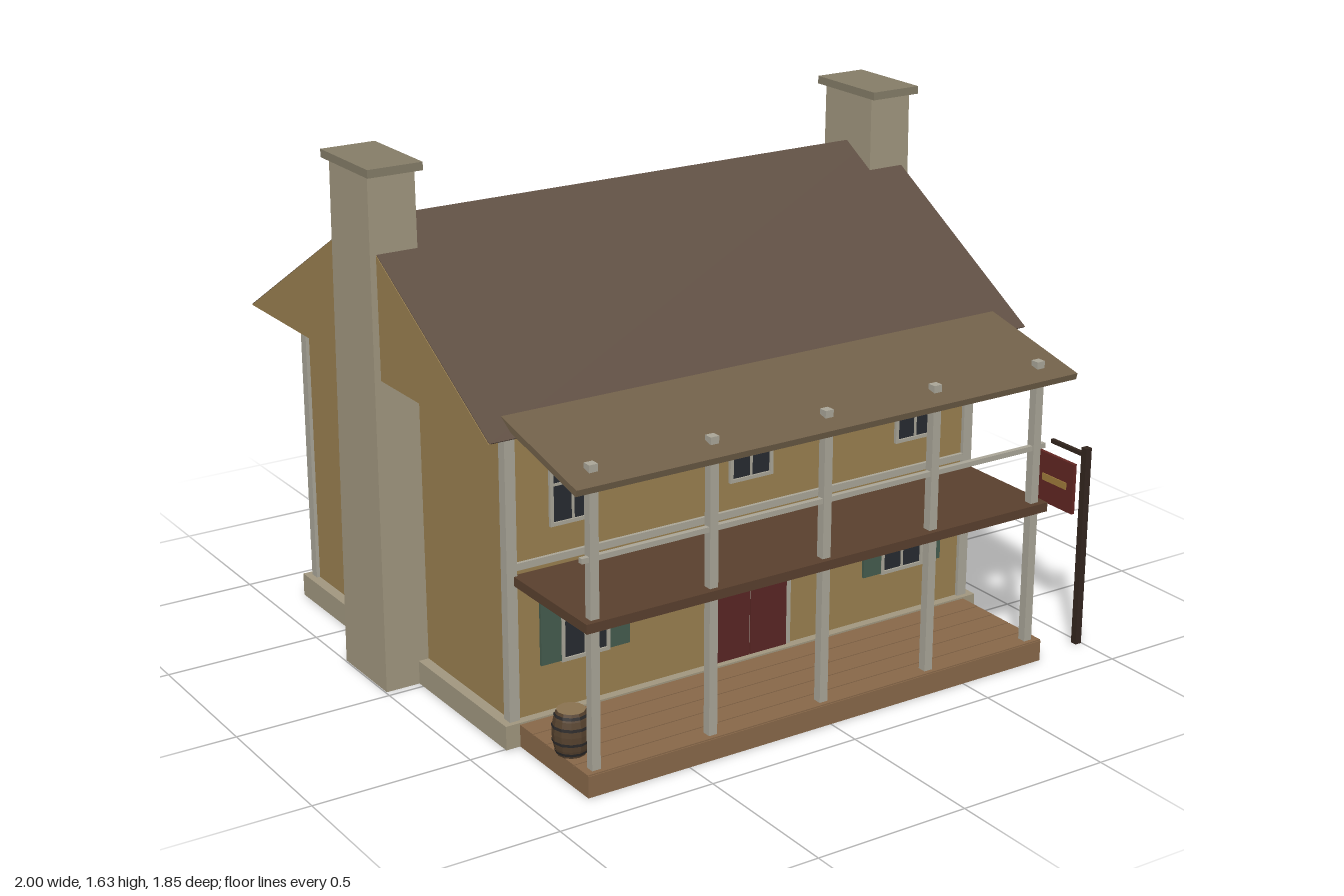
import * as THREE from 'three';

const mat = (color) => new THREE.MeshStandardMaterial({ color, flatShading: true });
const M = {
  wall: mat(0x9a8050), trim: mat(0xaaa698), roof: mat(0x5e4e42), porchRoof: mat(0x716049), soffit: mat(0x3a2c26),
  stone: mat(0xa1977f), cap: mat(0x857d68), floor: mat(0x886849), beam: mat(0x5a402e),
  glass: mat(0x272b31), shutter: mat(0x455c4e), door: mat(0x5a2624), dark: mat(0x33261f),
  sign: mat(0x622622), gold: mat(0xa07c3c), stave: mat(0x57432f), hoop: mat(0x2c2a2a), lid: mat(0x8a7250),
};
const CX = -0.0165; // middle of the house
const RIDGE_Z = -0.162;

function add(parent, name, geo, material, x = 0, y = 0, z = 0) {
  const mesh = new THREE.Mesh(geo, material);
  mesh.name = name;
  mesh.position.set(x, y, z);
  parent.add(mesh);
  return mesh;
}

// Box given by its limits on each axis
function span(parent, name, material, [x0, x1], [y0, y1], [z0, z1]) {
  return add(parent, name, new THREE.BoxGeometry(x1 - x0, y1 - y0, z1 - z0), material,
    (x0 + x1) / 2, (y0 + y1) / 2, (z0 + z1) / 2);
}

// Triangular prism along x, cross-section in z and y
function gablePrism(parent, name, material, x0, x1, half, base, top) {
  const shape = new THREE.Shape();
  shape.moveTo(-half, base);
  shape.lineTo(half, base);
  shape.lineTo(0, top);
  const geo = new THREE.ExtrudeGeometry(shape, { depth: x1 - x0, bevelEnabled: false });
  geo.rotateY(Math.PI / 2);
  return add(parent, name, geo, material, x0, 0, RIDGE_Z);
}

// Four-pane sash window facing +z, origin at its centre
function makeWindow(parent, name, w, h, x, y, z, turned, shutters) {
  const g = new THREE.Group();
  g.name = name;
  const b = 0.011;
  add(g, 'glass', new THREE.BoxGeometry(w - b, h - b, 0.012), M.glass);
  for (const s of [-1, 1]) {
    add(g, 'frameSide', new THREE.BoxGeometry(b, h, 0.024), M.trim, s * (w - b) / 2);
    add(g, 'frameRail', new THREE.BoxGeometry(w, b, 0.024), M.trim, 0, s * (h - b) / 2);
    if (shutters) add(g, 'shutter', new THREE.BoxGeometry(0.068, h - 0.01, 0.02), M.shutter, s * (w / 2 + 0.035));
  }
  add(g, 'muntinUpright', new THREE.BoxGeometry(0.008, h, 0.018), M.trim);
  add(g, 'muntinCross', new THREE.BoxGeometry(w, 0.008, 0.018), M.trim);
  g.position.set(x, y, z);
  if (turned) g.rotation.y = Math.PI;
  parent.add(g);
}

function makeHouse(root) {
  const g = new THREE.Group();
  g.name = 'house';
  root.add(g);

  // Foundation without an underside, so the floor above shows from below
  const foundation = span(g, 'foundation', M.stone, [-0.884, 0.852], [0, 0.075], [-0.826, 0.506]).geometry;
  const faces = Array.from(foundation.index.array);
  faces.splice(18, 6);
  foundation.setIndex(faces);
  foundation.clearGroups();

  span(g, 'walls', M.wall, [-0.85, 0.817], [0.07, 0.987], [-0.795, 0.478]);
  for (const s of [-1, 1]) for (const z of [-0.788, 0.473])
    add(g, 'cornerBoard', new THREE.BoxGeometry(0.034, 0.912, 0.034), M.trim, CX + s * 0.828, 0.531, z);

  // Roof, with dark soffit and thin wall-coloured gable ends
  gablePrism(g, 'roof', M.roof, -0.969, 0.931, 0.763, 0.99, 1.443);
  span(g, 'soffit', M.soffit, [-0.968, 0.93], [0.986, 0.991], [-0.92, 0.596]);
  for (const [a, b] of [[-0.971, -0.965], [0.927, 0.933]])
    gablePrism(g, 'gableEnd', M.wall, a, b, 0.761, 0.988, 1.441);

  // Tapering end chimneys
  for (const s of [-1, 1]) {
    const geo = new THREE.BoxGeometry(0.165, 1.605, 0.27);
    const p = geo.attributes.position;
    for (let i = 0; i < p.count; i++)
      if (p.getY(i) > 0) p.setXYZ(i, p.getX(i) * 0.92, p.getY(i), p.getZ(i) * 0.89);
    const x = CX + s * 0.897;
    add(g, 'chimney', geo, M.stone, x, 0.8025, -0.159);
    add(g, 'chimneyCap', new THREE.BoxGeometry(0.177, 0.025, 0.298), M.cap, x, 1.616, -0.159);
  }

  // Windows
  for (const s of [-1, 0, 1]) makeWindow(g, 'upperWindow', 0.155, 0.25, CX + s * 0.62, 0.775, 0.477);
  for (const s of [-1, 1]) {
    makeWindow(g, 'lowerWindow', 0.165, 0.26, CX + s * 0.583, 0.35, 0.477, false, true);
    makeWindow(g, 'backWindow', 0.155, 0.237, CX + s * 0.36, 0.375, -0.793, true);
  }

  // Double door
  span(g, 'doorFrame', M.trim, [-0.172, 0.137], [0.075, 0.49], [0.465, 0.484]);
  for (const s of [-1, 1])
    add(g, 'doorLeaf', new THREE.BoxGeometry(0.133, 0.397, 0.02), M.door, CX + s * 0.0685, 0.2745, 0.478);
}

function makePorch(root) {
  const g = new THREE.Group();
  g.name = 'porch';
  root.add(g);
  const X = [-0.838, 0.805];
  span(g, 'porchBase', M.floor, X, [0, 0.066], [0.507, 0.883]);
  for (let i = 0; i < 5; i++) {
    const z = 0.507 + i * 0.0754;
    span(g, 'porchPlank', M.floor, X, [0.066, 0.07], [z, z + 0.0715]);
  }
  span(g, 'balconyFloor', M.beam, X, [0.498, 0.527], [0.48, 0.883]);
  span(g, 'balconyLowRail', M.trim, X, [0.542, 0.564], [0.475, 0.489]);
  span(g, 'balconyRail', M.trim, X, [0.697, 0.713], [0.845, 0.861]);
  for (let i = -2; i <= 2; i++)
    add(g, 'porchPost', new THREE.BoxGeometry(0.028, 0.91, 0.028), M.trim, CX + i * 0.392, 0.525, 0.852);

  // Lean-to roof
  const roof = add(g, 'porchRoof', new THREE.BoxGeometry(1.75, 0.02, 0.407), M.porchRoof, CX, 0.979, 0.726);
  roof.rotation.x = Math.atan2(0.088, 0.39);
}

function makeBarrel(root) {
  const g = new THREE.Group();
  g.name = 'barrel';
  const radius = (y) => 0.056 - 0.013 * ((y - 0.068) / 0.068) ** 2;
  const points = [];
  for (let i = 0; i <= 6; i++) points.push(new THREE.Vector2(radius(i * 0.136 / 6), i * 0.136 / 6));
  add(g, 'staves', new THREE.LatheGeometry(points, 12), M.stave);
  add(g, 'lid', new THREE.CylinderGeometry(0.042, 0.042, 0.006, 12), M.lid, 0, 0.133, 0);
  for (const y of [0.012, 0.045, 0.091, 0.124])
    add(g, 'hoop', new THREE.CylinderGeometry(radius(y + 0.004) + 0.002, radius(y - 0.004) + 0.002, 0.009, 12, 1, true),
      M.hoop, 0, y, 0);
  g.position.set(-0.802, 0.07, 0.734);
  root.add(g);
}

function makeSign(root) {
  const g = new THREE.Group();
  g.name = 'hangingSign';
  root.add(g);
  span(g, 'signPost', M.dark, [0.976, 0.998], [0, 0.656], [0.836, 0.858]);
  span(g, 'signArm', M.dark, [0.981, 0.993], [0.624, 0.637], [0.69, 0.838]);
  span(g, 'signBoard', M.sign, [0.981, 0.993], [0.42, 0.585], [0.63, 0.8]);
  span(g, 'signStripe', M.gold, [0.978, 0.996], [0.493, 0.516], [0.66, 0.771]);
}

export function createModel() {
  const root = new THREE.Group();
  root.name = 'farmhouse';
  makeHouse(root);
  makePorch(root);
  makeBarrel(root);
  makeSign(root);
  return root;
}
